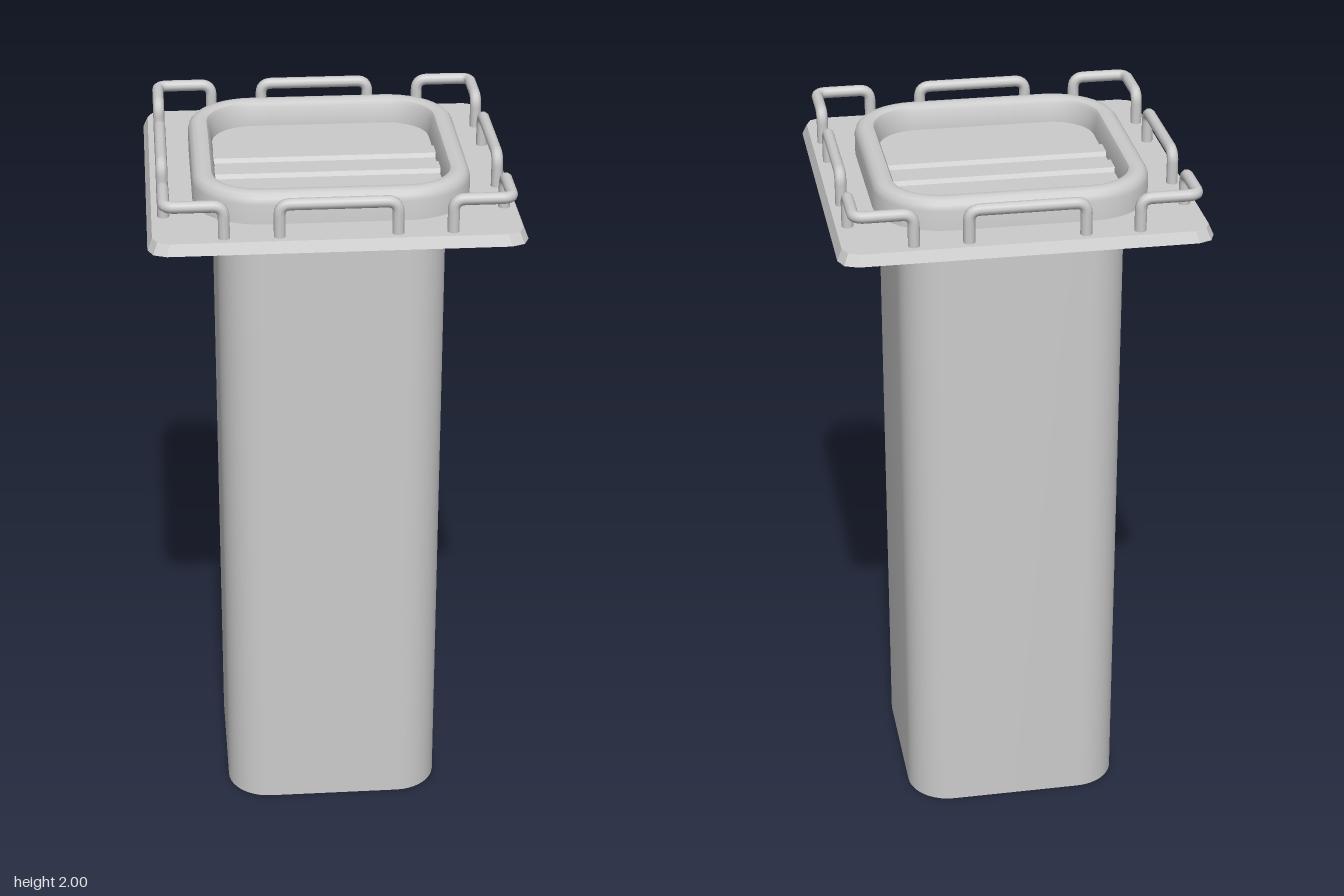
import * as THREE from 'three';
import { toCreasedNormals } from 'three/addons/utils/BufferGeometryUtils.js';

const grey = new THREE.MeshStandardMaterial({ color: 0xcccccc });
const greyThin = new THREE.MeshStandardMaterial({ color: 0xcccccc, side: THREE.DoubleSide });

// Sweeps a profile of [half width, y, corner radius] around a rounded square
function roundedSquareLoft(profile, cornerSegs, crease = 0.6) {
  const pos = [], idx = [];
  const n = 4 * (cornerSegs + 1);
  for (const [h, y, r] of profile) {
    for (let q = 0; q < 4; q++) {
      const mid = (q + 0.5) * Math.PI / 2;
      const cx = Math.sign(Math.cos(mid)) * (h - r);
      const cz = Math.sign(Math.sin(mid)) * (h - r);
      for (let s = 0; s <= cornerSegs; s++) {
        const a = (q + s / cornerSegs) * Math.PI / 2;
        pos.push(cx + r * Math.cos(a), y, cz + r * Math.sin(a));
      }
    }
  }
  for (let k = 0; k < profile.length - 1; k++) {
    for (let j = 0; j < n; j++) {
      const a = k * n + j, d = k * n + (j + 1) % n;
      idx.push(a, a + n, d, a + n, d + n, d);
    }
  }
  const g = new THREE.BufferGeometry();
  g.setAttribute('position', new THREE.Float32BufferAttribute(pos, 3));
  g.setIndex(idx);
  return toCreasedNormals(g, crease);
}

// Polyline path with rounded bends
function bentPath(points, r) {
  const path = new THREE.CurvePath();
  let from = points[0];
  for (let i = 1; i < points.length - 1; i++) {
    const p = points[i];
    const before = p.clone().add(points[i - 1].clone().sub(p).setLength(r));
    const after = p.clone().add(points[i + 1].clone().sub(p).setLength(r));
    path.add(new THREE.LineCurve3(from, before));
    path.add(new THREE.QuadraticBezierCurve3(before, p, after));
    from = after;
  }
  path.add(new THREE.LineCurve3(from, points[points.length - 1]));
  return path;
}

export function createModel() {
  const model = new THREE.Group();
  const add = (name, geometry, material = grey, parent = model) => {
    const m = new THREE.Mesh(geometry, material);
    m.name = name;
    parent.add(m);
    return m;
  };

  // Long shaft, open at the bottom
  add('shaft', roundedSquareLoft([[0.312, 0, 0.122], [0.312, 1.9, 0.122]], 10), greyThin);

  // Flange plate with sloped edges and clipped corners
  add('flangePlate', roundedSquareLoft([
    [0.35, 1.865, 0.15], [0.5, 1.865, 0.05], [0.487, 1.895, 0.045],
    [0.35, 1.895, 0.15], [0.35, 1.865, 0.15],
  ], 2, 0.3));

  // Rounded rim, running through the plate to a collar below it
  const rim = [
    [0.312, 1.845], [0.375, 1.845], [0.375, 1.95], [0.371, 1.965], [0.361, 1.976],
    [0.347, 1.98], [0.332, 1.979], [0.322, 1.974], [0.316, 1.962], [0.307, 1.905], [0.312, 1.845],
  ].map(([h, y]) => [h, y, h - 0.19]);
  add('rim', roundedSquareLoft(rim, 10));

  // Recessed hatch floor
  add('hatchFloor', roundedSquareLoft([
    [0, 1.895, 0], [0.311, 1.895, 0.121], [0.311, 1.91, 0.121], [0, 1.91, 0],
  ], 10));

  // Two raised bars across the floor
  const barShape = new THREE.Shape([
    new THREE.Vector2(-0.034, 0), new THREE.Vector2(0.034, 0),
    new THREE.Vector2(0.027, 0.013), new THREE.Vector2(-0.027, 0.013),
  ]);
  for (const z of [-0.059, 0.057]) {
    const g = new THREE.ExtrudeGeometry(barShape, { depth: 0.62, bevelEnabled: false });
    g.translate(0, 0, -0.31).rotateY(Math.PI / 2);
    add('floorBar', g).position.set(0, 1.909, z);
  }

  // Grab rails: one straight and one corner rail per side
  const foot = 1.865, top = 1.984, edge = 0.455;
  const v = (x, y, z) => new THREE.Vector3(x, y, z);
  const tube = (points) =>
    new THREE.TubeGeometry(bentPath(points, 0.03), 64, 0.016, 10, false);
  const straightRail = tube([
    v(-0.155, foot, edge), v(-0.155, top, edge), v(0.155, top, edge), v(0.155, foot, edge),
  ]);
  const cornerRail = tube([
    v(0.3, foot, edge), v(0.3, top, edge), v(edge, top, edge), v(edge, top, 0.3), v(edge, foot, 0.3),
  ]);
  for (let i = 0; i < 4; i++) {
    const side = new THREE.Group();
    side.name = 'railSet';
    side.rotation.y = i * Math.PI / 2;
    add('straightRail', straightRail, greyThin, side);
    add('cornerRail', cornerRail, greyThin, side);
    model.add(side);
  }
  return model;
}
